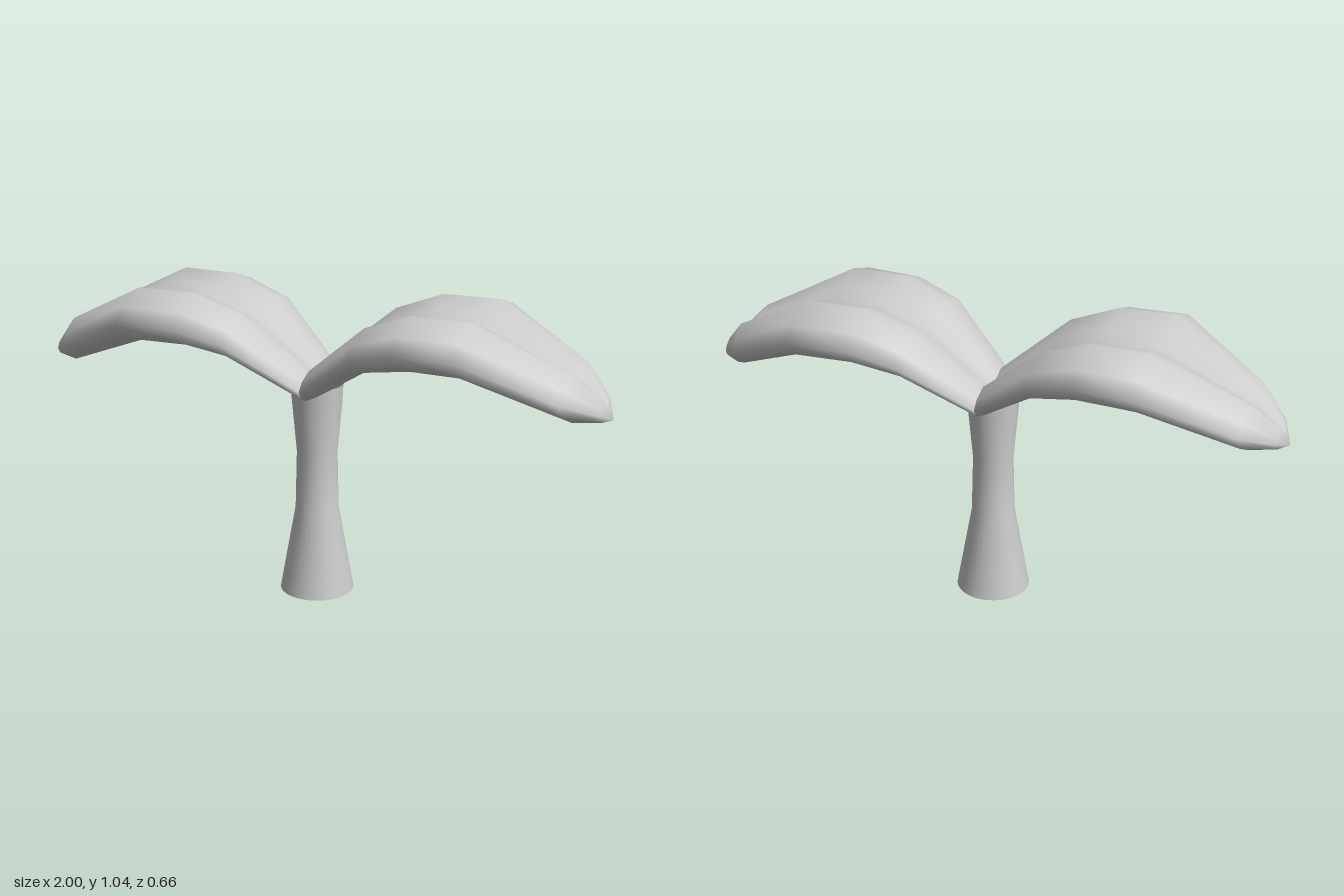
import * as THREE from 'three';

const material = new THREE.MeshStandardMaterial({ color: 0xcccccc, side: THREE.DoubleSide });

// Half cross-section of a leaf: [fraction of half width, fraction of height]
const half = [[0, 0.71], [0.25, 0.85], [0.5, 1], [0.86, 0.79], [1, 0.53], [0.86, 0.26], [0.5, 0.05], [0, 0]];
const mirrored = half.slice(1, -1).reverse().map(([w, h]) => [-w, h]);
const section = [...half, ...mirrored];

// Stations along a leaf: [x, bottom y, top y, half width, slant of the edge in x]
const stations = [
  [0, 0.69, 0.80, 0.16, 0],
  [0.22, 0.83, 0.985, 0.285, 0],
  [0.38, 0.855, 1.045, 0.315, 0],
  [0.58, 0.855, 1.045, 0.33, 0],
  [0.91, 0.735, 0.89, 0.18, -0.04],
  [0.975, 0.735, 0.805, 0.085, -0.01],
];

function leafGeometry() {
  const positions = [];
  const index = [];
  const n = section.length;
  for (const [x, bottom, top, width, slant] of stations) {
    for (const [w, h] of section) {
      positions.push(x + slant * Math.abs(w), bottom + (top - bottom) * h, w * width);
    }
  }
  // Skin between neighbouring sections
  for (let s = 0; s < stations.length - 1; s++) {
    for (let i = 0; i < n; i++) {
      const a = s * n + i;
      const b = s * n + (i + 1) % n;
      index.push(a, b, b + n, a, b + n, a + n);
    }
  }
  // Close the tip to a point
  const tip = positions.length / 3;
  positions.push(1, 0.738, 0);
  const last = (stations.length - 1) * n;
  for (let i = 0; i < n; i++) index.push(last + i, last + (i + 1) % n, tip);

  const geometry = new THREE.BufferGeometry();
  geometry.setAttribute('position', new THREE.Float32BufferAttribute(positions, 3));
  geometry.setIndex(index);
  geometry.computeVertexNormals();
  return geometry;
}

export function createModel() {
  const model = new THREE.Group();
  model.name = 'sprout';

  // Open stem, waisted in the middle and flared at the foot
  const profile = [[0.127, 0], [0.074, 0.3], [0.069, 0.5], [0.085, 0.68], [0.088, 0.74]]
    .map(([r, y]) => new THREE.Vector2(r, y));
  const stem = new THREE.Mesh(new THREE.LatheGeometry(profile, 32), material);
  stem.name = 'stem';
  stem.position.z = 0.01;
  model.add(stem);

  // Two arching leaves, one turned half way round
  const geometry = leafGeometry();
  ['leftLeaf', 'rightLeaf'].forEach((name, i) => {
    const leaf = new THREE.Mesh(geometry, material);
    leaf.name = name;
    leaf.rotation.y = i * Math.PI;
    model.add(leaf);
  });
  return model;
}
